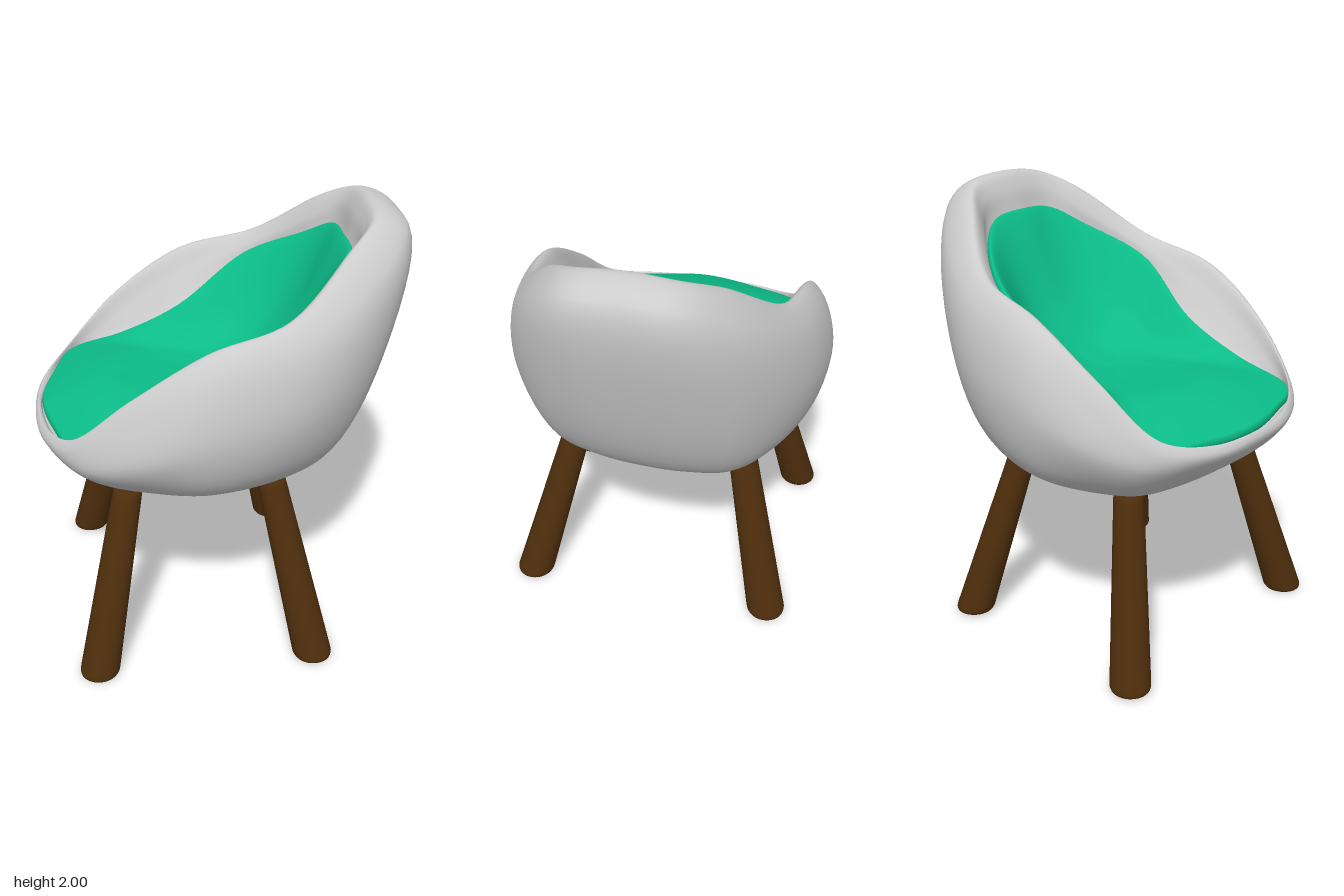
import * as THREE from 'three';
import { mergeVertices } from 'three/addons/utils/BufferGeometryUtils.js';

const V = (x, y, z) => new THREE.Vector3(x, y, z);

// Half a loop, from the front of the seat (-x) to the back (+x), mirrored into a full ring;
// roll lowers the far side a little
function ring(half, roll = 0) {
  const pts = half.map(p => V(...p));
  const mirrored = pts.slice(1, -1).reverse().map(p => V(p.x, p.y, -p.z));
  return [...pts, ...mirrored].map(p => V(p.x, p.y + roll * p.z, p.z));
}

// A copy of a ring, scaled in plan about the seat centre and moved in height
const shift = (r, dy, s = 1) => r.map(p => V(p.x * s, p.y + dy, p.z * s));
// Closing of a ring: a smaller ring that flattens towards the pole, and the pole itself
const inset = (r, x, y, s) => r.map(p => V(x + (p.x - x) * s, y + (p.y - y) * s * s, p.z * s));

// Smooth skin through a stack of rings
function loft(rings, across, along) {
  const smooth = rings.map(r => {
    const c = new THREE.CatmullRomCurve3(r, true);
    return Array.from({ length: across }, (_, i) => c.getPoint(i / across));
  });
  const pos = [], index = [], row = along + 1;
  for (let i = 0; i < across; i++) {
    const c = new THREE.CatmullRomCurve3(smooth.map(r => r[i]));
    for (let j = 0; j <= along; j++) pos.push(...c.getPoint(j / along).toArray());
    const n = (i + 1) % across;
    for (let j = 0; j < along; j++) {
      const a = i * row + j, b = n * row + j;
      index.push(a, b, b + 1, a, b + 1, a + 1);
    }
  }
  const g = new THREE.BufferGeometry();
  g.setAttribute('position', new THREE.Float32BufferAttribute(pos, 3));
  g.setIndex(index);
  const merged = mergeVertices(g, 1e-5);
  merged.computeVertexNormals();
  return merged;
}

// Outer shell rings, bottom to rim
const base = ring([[-.4, .77, 0], [-.395, .77, .14], [-.35, .775, .27], [-.25, .775, .35], [-.1, .78, .39],
  [.12, .78, .34], [.23, .785, .25], [.28, .785, .13], [.29, .785, 0]], .05);
const low = ring([[-.63, .87, 0], [-.61, .87, .23], [-.53, .875, .43], [-.36, .9, .55], [-.1, .92, .625],
  [.22, .92, .54], [.44, .925, .39], [.54, .96, .2], [.555, .96, 0]], .04);
const wide = ring([[-.79, .99, 0], [-.76, 1, .27], [-.63, 1.01, .515], [-.4, 1.1, .665], [-.1, 1.2, .72],
  [.3, 1.25, .64], [.61, 1.34, .435], [.73, 1.4, .225], [.75, 1.41, 0]]);
const shoulder = ring([[-.825, 1.06, 0], [-.795, 1.06, .26], [-.68, 1.1, .48], [-.43, 1.28, .615], [-.1, 1.49, .665],
  [.3, 1.57, .61], [.64, 1.77, .42], [.795, 1.9, .22], [.815, 1.92, 0]]);
const rim = ring([[-.81, 1.09, 0], [-.78, 1.095, .24], [-.66, 1.15, .46], [-.42, 1.37, .56], [-.1, 1.575, .585],
  [.25, 1.675, .535], [.53, 1.895, .345], [.65, 1.975, .21], [.67, 2, 0]]);
// Inner wall and seat rings
const wall = ring([[-.8, 1.085, 0], [-.76, 1.085, .25], [-.655, 1.1, .465], [-.41, 1.27, .52], [-.11, 1.47, .52],
  [.22, 1.62, .49], [.48, 1.8, .32], [.6, 1.91, .2], [.615, 1.93, 0]]);
const edge = ring([[-.79, 1.1, 0], [-.74, 1.1, .26], [-.65, 1.11, .475], [-.4, 1.195, .445], [-.13, 1.335, .41],
  [.2, 1.565, .465], [.46, 1.71, .32], [.565, 1.8, .18], [.57, 1.82, 0]]);
const seat = ring([[-.5, 1.21, 0], [-.48, 1.21, .14], [-.42, 1.2, .27], [-.27, 1.2, .27], [-.06, 1.215, .25],
  [.13, 1.29, .26], [.28, 1.38, .19], [.33, 1.42, .1], [.34, 1.43, 0]]);

// Tapered leg, slanted so that both ends stay level
function legGeometry(dx, dz, h) {
  const profile = [[0, 0], [.078, 0], [.086, .004], [.09, .014], [.09, .03], [.066, h - .03],
    [.065, h - .012], [.055, h], [0, h]].map(p => new THREE.Vector2(...p));
  const slant = new THREE.Matrix4().set(1, dx / h, 0, 0, 0, 1, 0, 0, 0, dz / h, 1, 0, 0, 0, 0, 1);
  return new THREE.LatheGeometry(profile, 28).applyMatrix4(slant);
}

export function createModel() {
  const model = new THREE.Group();
  model.name = 'tubChair';
  const material = color => new THREE.MeshStandardMaterial({ color });
  const add = (name, geometry, mat) => {
    const mesh = new THREE.Mesh(geometry, mat);
    mesh.name = name;
    model.add(mesh);
    return mesh;
  };

  // Egg-shaped shell, outside and inside in one skin
  const lining = shift(seat, -.04);
  add('shell', loft([inset(base, -.1, .73, 0), inset(base, -.1, .73, .45), base, low, wide, shoulder, rim, wall,
    shift(edge, -.04), lining, inset(lining, 0, 1.15, .45), inset(lining, 0, 1.15, 0)], 128, 88), material(0xcccccc));

  // Thin seat pad with a rounded border
  const pad = material(0x0cbc88);
  pad.side = THREE.DoubleSide;
  add('cushion', loft([shift(edge, -.045, .97), shift(edge, -.02), shift(edge, .008, .998),
    shift(edge, .02, .975), seat, inset(seat, 0, 1.19, .45), inset(seat, 0, 1.19, 0)], 128, 60), pad);

  // Four splayed legs
  const wood = material(0x4e2e0c);
  for (const [name, x, topX] of [['front', -.61, -.435], ['back', .38, .2]])
    for (const side of [1, -1]) {
      const z = side > 0 ? .605 : -.57, topZ = side * .385, h = side > 0 ? .85 : .82;
      const leg = add(`${name}Leg${side > 0 ? 'Left' : 'Right'}`, legGeometry(topX - x, topZ - z, h), wood);
      leg.position.set(x, side > 0 ? 0 : .01, z);
    }
  return model;
}
